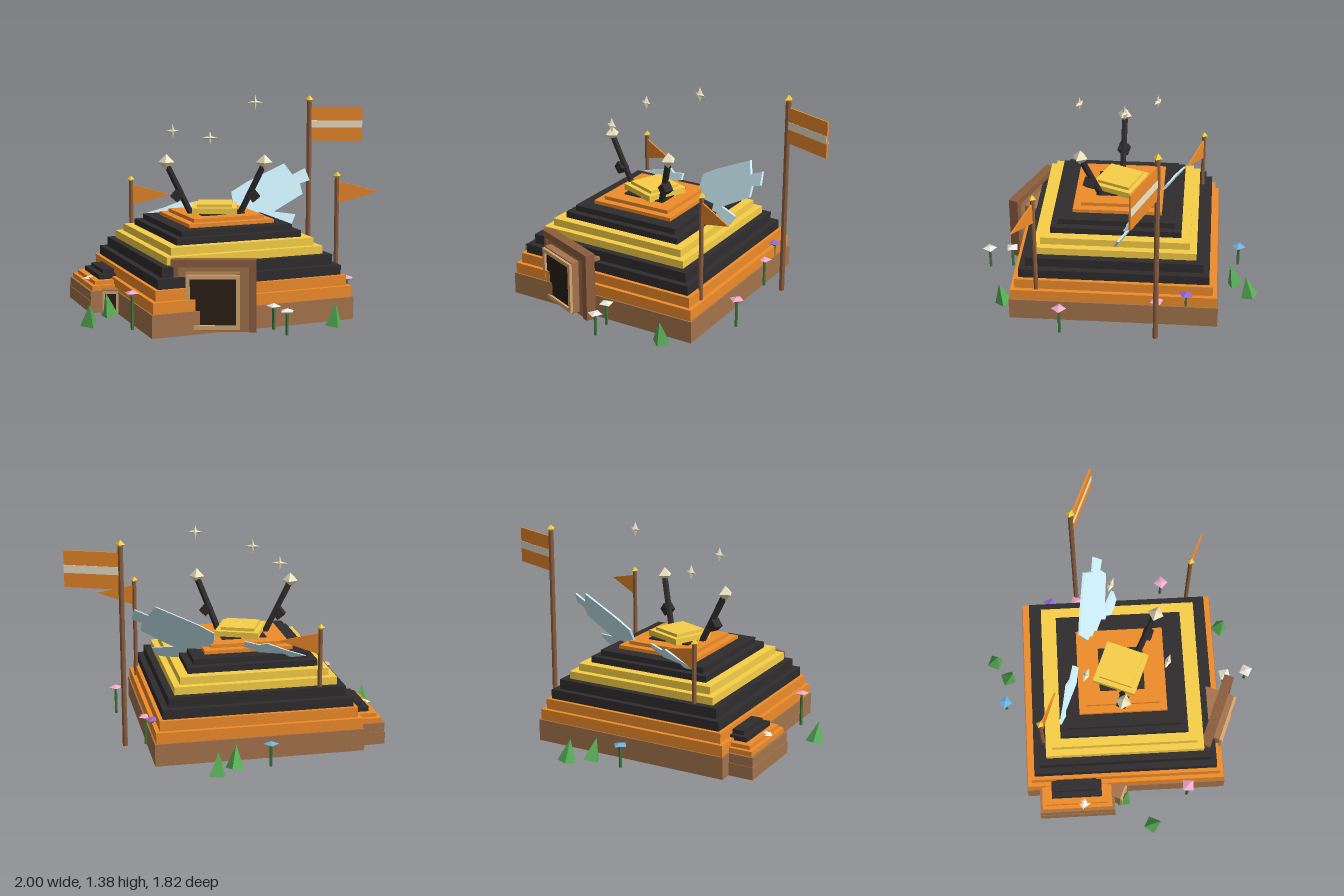
import * as THREE from 'three';

const COLORS = {
  brown: 0xa5744c, darkBrown: 0x8c5e3e, ceiling: 0x8c6440, orange: 0xf08c2a, black: 0x302c2e, gold: 0xf8d048,
  tan: 0xd8aa72, dark: 0x2b2018, ice: 0xcceef8, cream: 0xeee6c4, stripe: 0xf0e8d0, grey: 0xcccccc,
  green: 0x58ae58, stem: 0x3f7a3f, pink: 0xf4acd0, white: 0xeeeae6, purple: 0x9468d8, blue: 0x6fb2e0,
};
const materials = {};
function mat(color) {
  return materials[color] ??= new THREE.MeshStandardMaterial({
    color: COLORS[color], flatShading: true, side: THREE.DoubleSide,
  });
}

function add(parent, name, geometry, color, x = 0, y = 0, z = 0) {
  const mesh = new THREE.Mesh(geometry, mat(color));
  mesh.name = name;
  mesh.position.set(x, y, z);
  parent.add(mesh);
  return mesh;
}

// Box given by its limits
function box(parent, name, color, x0, x1, y0, y1, z0, z1) {
  return add(parent, name, new THREE.BoxGeometry(x1 - x0, y1 - y0, z1 - z0), color,
    (x0 + x1) / 2, (y0 + y1) / 2, (z0 + z1) / 2);
}

// Stack of square steps: [half width, bottom, top, color]
function steps(parent, name, list, x = 0, z = 0) {
  list.forEach(([h, y0, y1, color]) => box(parent, name, color, x - h, x + h, y0, y1, z - h, z + h));
}

// Straight rod between two points
function rod(parent, name, a, b, r, sides, color) {
  const dir = new THREE.Vector3().subVectors(b, a);
  const mesh = add(parent, name, new THREE.CylinderGeometry(r, r, dir.length(), sides), color);
  mesh.position.copy(a).add(b).multiplyScalar(0.5);
  mesh.quaternion.setFromUnitVectors(new THREE.Vector3(0, 1, 0), dir.normalize());
}

function gem(parent, name, color, x, y, z, rx, ry = rx, rz = rx) {
  return add(parent, name, new THREE.OctahedronGeometry(1).scale(rx, ry, rz), color, x, y, z);
}

// Flat outline in x and y, extruded along z about its middle
function plate(points, depth, hole) {
  const shape = new THREE.Shape(points.map(([x, y]) => new THREE.Vector2(x, y)));
  if (hole) shape.holes.push(new THREE.Path(hole.map(([x, y]) => new THREE.Vector2(x, y))));
  return new THREE.ExtrudeGeometry(shape, { depth, bevelEnabled: false }).translate(0, 0, -depth / 2);
}
const rect = (x0, x1, y0, y1) => [[x0, y0], [x1, y0], [x1, y1], [x0, y1]];

function addMound(root) {
  const mound = new THREE.Group();
  mound.name = 'steppedMound';
  mound.position.set(-0.02, 0, 0.04);
  mound.rotation.y = Math.PI / 8;
  root.add(mound);
  // Hollow base of rims that narrow inwards
  [[0.59, 0.043], [0.53, 0.09], [0.47, 0.137]].forEach(([h, y]) => {
    const g = plate(rect(-0.66, 0.66, -0.66, 0.66), 0.047, rect(-h, h, -h, h)).rotateX(Math.PI / 2);
    add(mound, 'baseRim', g, 'brown', 0, y, 0);
  });
  box(mound, 'baseCeiling', 'ceiling', -0.6, 0.6, 0.15, 0.165, -0.6, 0.6);
  steps(mound, 'moundStep', [
    [0.65, 0.16, 0.23, 'orange'], [0.624, 0.23, 0.295, 'orange'],
    [0.6, 0.295, 0.355, 'black'], [0.56, 0.355, 0.418, 'black'],
    [0.515, 0.418, 0.467, 'gold'], [0.472, 0.467, 0.515, 'gold'],
    [0.414, 0.515, 0.555, 'black'], [0.37, 0.555, 0.592, 'black'],
    [0.284, 0.592, 0.615, 'orange'], [0.236, 0.615, 0.638, 'orange'],
    [0.145, 0.638, 0.646, 'black'],
  ]);
  // Side annex
  steps(mound, 'annexStep', [
    [0.25, 0.02, 0.1, 'brown'], [0.246, 0.1, 0.16, 'brown'],
    [0.23, 0.16, 0.19, 'orange'], [0.205, 0.19, 0.215, 'orange'],
    [0.165, 0.215, 0.245, 'black'], [0.13, 0.245, 0.27, 'black'],
  ], -0.57, -0.33);
  // Cap is square to the front
  steps(root, 'topCap', [[0.142, 0.64, 0.68, 'gold'], [0.11, 0.68, 0.7, 'gold']], -0.025, 0.04);
}

function addEntrances(root) {
  const door = new THREE.Group();
  door.name = 'mainEntrance';
  root.add(door);
  box(door, 'passage', 'brown', -0.18, 0.14, 0.165, 0.38, 0.55, 0.69);
  box(door, 'wallPanel', 'brown', -0.23, 0.19, 0.02, 0.42, 0.68, 0.735);
  box(door, 'lintel', 'darkBrown', -0.275, 0.235, 0.415, 0.46, 0.68, 0.745);
  [[-0.275, -0.23], [0.19, 0.235]].forEach(([a, b]) =>
    box(door, 'doorPost', 'darkBrown', a, b, 0.02, 0.415, 0.68, 0.745));
  box(door, 'porch', 'brown', -0.185, 0.135, 0.04, 0.388, 0.735, 0.785);
  add(door, 'doorFrame', plate(rect(-0.185, 0.137, 0.05, 0.38), 0.018, rect(-0.16, 0.112, 0.075, 0.355)),
    'tan', 0, 0, 0.794);
  box(door, 'doorway', 'dark', -0.16, 0.112, 0.075, 0.355, 0.78, 0.788);

  const small = new THREE.Group();
  small.name = 'annexEntrance';
  root.add(small);
  box(small, 'annexPorch', 'brown', -0.73, -0.63, 0.02, 0.175, 0.15, 0.285);
  add(small, 'annexDoorFrame', plate(rect(-0.73, -0.63, 0.03, 0.165), 0.015, rect(-0.715, -0.645, 0.045, 0.15)),
    'tan', 0, 0, 0.292);
  box(small, 'annexDoorway', 'dark', -0.715, -0.645, 0.045, 0.15, 0.283, 0.288);

  // Loose stones under the entrance
  [[0.11, 0.54], [-0.24, 0.65], [-0.27, 0.53], [-0.09, 0.66], [0.11, 0.64]].forEach(([x, z], i) => {
    add(root, 'stone', new THREE.BoxGeometry(0.07, 0.05, 0.07), 'grey', x, 0.06, z).rotation.y = i * 0.7;
  });
}

function addAntennae(root) {
  [-1, 1].forEach((s) => {
    const x = (d) => s * d - 0.02;
    const a = new THREE.Vector3(x(0.15), 0.62, 0.1), b = new THREE.Vector3(x(0.308), 0.96, 0.16);
    rod(root, 'antenna', a, b, 0.021, 6, 'black');
    const knot = add(root, 'antennaKnot', new THREE.BoxGeometry(0.06, 0.06, 0.06), 'black', x(0.243), 0.757, 0.135);
    knot.rotation.z = s * 0.7;
    gem(root, 'antennaTip', 'cream', x(0.31), 0.972, 0.163, 0.052);
  });
}

function addWings(root) {
  const outlines = [
    [[0.08, 0.72], [0.18, 0.78], [0.435, 0.9], [0.49, 0.83], [0.575, 0.87], [0.605, 0.795], [0.54, 0.775],
      [0.556, 0.71], [0.36, 0.597], [0.505, 0.58], [0.48, 0.52], [0.24, 0.49], [0.1, 0.6]],
    [[-0.49, 0.585], [-0.37, 0.62], [-0.25, 0.665], [-0.2, 0.65], [-0.11, 0.67], [-0.1, 0.63], [-0.2, 0.59],
      [-0.4, 0.57]],
  ];
  outlines.forEach((points) => {
    const g = plate(points, 0.016);
    // Lean backwards as height grows
    const p = g.attributes.position;
    for (let i = 0; i < p.count; i++) p.setZ(i, p.getZ(i) - 0.175 - 0.53 * (p.getY(i) - 0.52));
    g.computeVertexNormals();
    add(root, 'wing', g, 'ice');
  });
}

function addFlags(root) {
  // x, z, pole bottom, pole top, pole radius
  [[0.61, -0.52, 0.02, 1.31, 0.017], [0.742, 0.25, 0.22, 0.89, 0.014], [-0.592, -0.3, 0.4, 0.79, 0.014]]
    .forEach(([x, z, y0, y1, r], i) => {
      const flag = new THREE.Group();
      flag.name = 'flag';
      flag.position.set(x, 0, z);
      root.add(flag);
      add(flag, 'pole', new THREE.CylinderGeometry(r, r, y1 - y0, 8), 'darkBrown', 0, (y0 + y1) / 2, 0);
      gem(flag, 'finial', 'gold', 0, y1 + 0.01, 0, i ? 0.026 : 0.03);
      if (i === 0) {
        box(flag, 'cloth', 'orange', 0.01, 0.36, 1.04, 1.27, -0.006, 0.006);
        box(flag, 'clothStripe', 'stripe', 0.01, 0.36, 1.13, 1.18, -0.008, 0.008);
      } else {
        add(flag, 'pennant', plate([[0.01, y1 - 0.16], [0.258, y1 - 0.09], [0.01, y1 - 0.025]], 0.01), 'orange');
      }
    });
}

function addPlants(root) {
  // Flowers: x, z, head height, color
  [[-0.835, 0.07, 0.205, 'white'], [-0.51, 0.685, 0.245, 'pink'], [0.83, 0.04, 0.205, 'pink'],
    [0.34, 0.67, 0.165, 'white'], [0.415, 0.8, 0.165, 'white'], [0.4, -0.63, 0.25, 'purple'],
    [0.49, -0.47, 0.205, 'pink'], [-0.35, -0.68, 0.165, 'blue']].forEach(([x, z, y, color], i) => {
    add(root, 'flowerStem', new THREE.CylinderGeometry(0.01, 0.01, y - 0.02, 5), 'stem', x, y / 2 + 0.01, z);
    gem(root, 'flowerHead', color, x, y, z, 0.048, 0.018, 0.048).rotation.y = i * 0.9 + 0.2;
  });
  // Leaning shrubs: x, z, lean about x, lean about z
  [[-0.06, -0.865, 0.22, 0], [-0.14, -0.73, 0.2, 0.1], [-0.785, 0.56, 0.25, 0.18], [-0.695, 0.3, 0.15, -0.15],
    [0.715, 0.53, 0.2, 0.08]].forEach(([x, z, rx, rz], i) => {
    const shrub = add(root, 'shrub', new THREE.ConeGeometry(0.058, 0.145, 4), 'green', x, 0.086, z);
    shrub.rotation.set(rx, i * 0.7 + 0.8, rz);
  });
}

function addSparkles(root) {
  [[-0.3, 1.145, -0.09], [-0.05, 1.145, 0.35], [0.235, 1.33, -0.12]].forEach(([x, y, z]) => {
    gem(root, 'sparkle', 'cream', x, y, z, 0.013, 0.048, 0.02);
    gem(root, 'sparkle', 'cream', x, y, z, 0.048, 0.013, 0.02);
  });
}

export function createModel() {
  const root = new THREE.Group();
  root.name = 'steppedShelter';
  [addMound, addEntrances, addAntennae, addWings, addFlags, addPlants, addSparkles].forEach((build) => build(root));
  return root;
}
